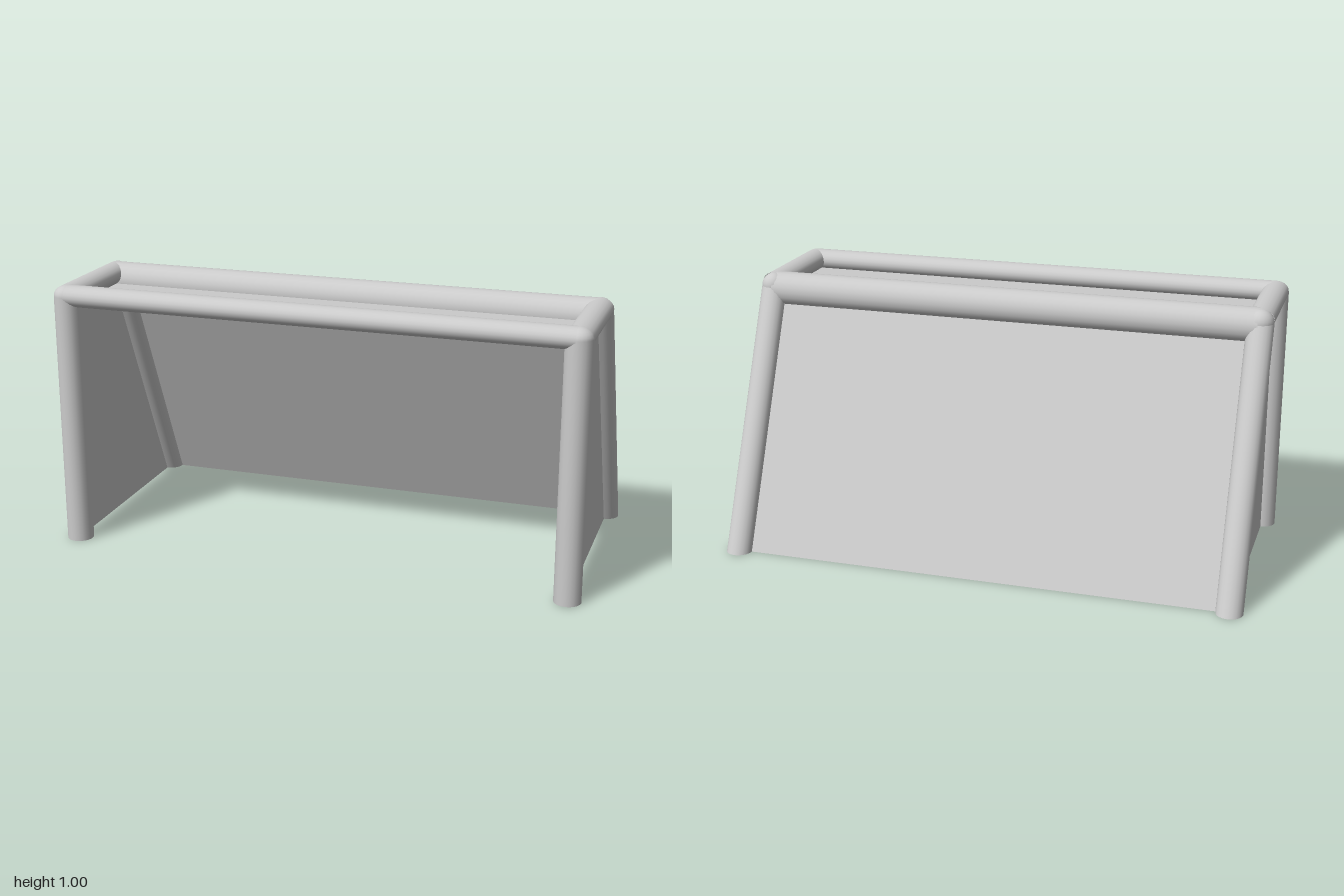
import * as THREE from 'three';

const material = new THREE.MeshStandardMaterial({ color: 0xcccccc, side: THREE.DoubleSide });
const R = 0.05;          // pipe radius
const POST_X = 0.95;     // centre of the side pipes
const FRONT_Z = 0.43;    // centre of the front posts
const FOOT_Z = -0.425;   // foot of the sloping legs
const REAR_Z = 0.01;     // top of the sloping legs
const REAR_Y = 0.95;
const BAR_Y = 0.96;      // centre of the flattened top bars

function add(group, name, geometry, x = 0, y = 0, z = 0) {
  const mesh = new THREE.Mesh(geometry, material);
  mesh.name = name;
  mesh.position.set(x, y, z);
  group.add(mesh);
  return mesh;
}

const pipe = (radius, length) => new THREE.CylinderGeometry(radius, radius, length, 20, 1, true);
const elbow = (height) => new THREE.SphereGeometry(R, 20, 12).scale(1, height / R, 1);

// Flat panel through corner points [x, y, z] given in order
function panel(corners) {
  const geometry = new THREE.BufferGeometry();
  geometry.setAttribute('position', new THREE.Float32BufferAttribute(corners.flat(), 3));
  geometry.setIndex([0, 1, 2, 0, 2, 3]);
  geometry.computeVertexNormals();
  return geometry;
}

export function createModel() {
  const goal = new THREE.Group();
  goal.name = 'goal';

  for (const [side, s] of [['left', 1], ['right', -1]]) {
    const x = s * POST_X;
    const frame = new THREE.Group();
    frame.name = `${side}Frame`;
    goal.add(frame);

    // Upright front post with a rounded corner on top
    add(frame, 'frontPost', pipe(R, BAR_Y), x, BAR_Y / 2, FRONT_Z);
    add(frame, 'frontCorner', elbow(0.04), x, BAR_Y, FRONT_Z);

    // Sloping leg: an upright pipe sheared backwards so its foot stays level
    const leg = pipe(R, REAR_Y).translate(0, REAR_Y / 2, 0);
    const slope = (REAR_Z - FOOT_Z) / REAR_Y;
    leg.applyMatrix4(new THREE.Matrix4().set(1, 0, 0, 0, 0, 1, 0, 0, 0, slope, 1, 0, 0, 0, 0, 1));
    leg.computeVertexNormals();
    add(frame, 'rearLeg', leg, x, 0, FOOT_Z);
    add(frame, 'rearCorner', elbow(R), x, REAR_Y, REAR_Z);

    // Top side bar, slightly flattened
    const depth = FRONT_Z - REAR_Z;
    const sideBar = pipe(R, depth).rotateX(Math.PI / 2).scale(1, 0.8, 1);
    add(frame, 'topSideBar', sideBar, x, BAR_Y, REAR_Z + depth / 2);

    // Side net
    add(frame, 'sideNet', panel([
      [x, 0, FRONT_Z], [x, 0, FOOT_Z], [x, REAR_Y, REAR_Z], [x, BAR_Y, FRONT_Z],
    ]));
  }

  // Crossbars: flattened at the front, thicker at the rear
  const across = (radius) => pipe(radius, 2 * POST_X - 0.01).rotateZ(Math.PI / 2);
  add(goal, 'frontCrossbar', across(R).scale(1, 0.8, 1), 0, BAR_Y, FRONT_Z);
  add(goal, 'rearCrossbar', across(0.067), 0, 0.934, 0.024);

  // Back and top nets
  const X = POST_X;
  add(goal, 'backNet', panel([
    [X, 0, FOOT_Z], [-X, 0, FOOT_Z], [-X, REAR_Y, REAR_Z], [X, REAR_Y, REAR_Z],
  ]));
  add(goal, 'topNet', panel([
    [-X, 0.93, FRONT_Z], [X, 0.93, FRONT_Z], [X, 0.93, REAR_Z], [-X, 0.93, REAR_Z],
  ]));

  return goal;
}
